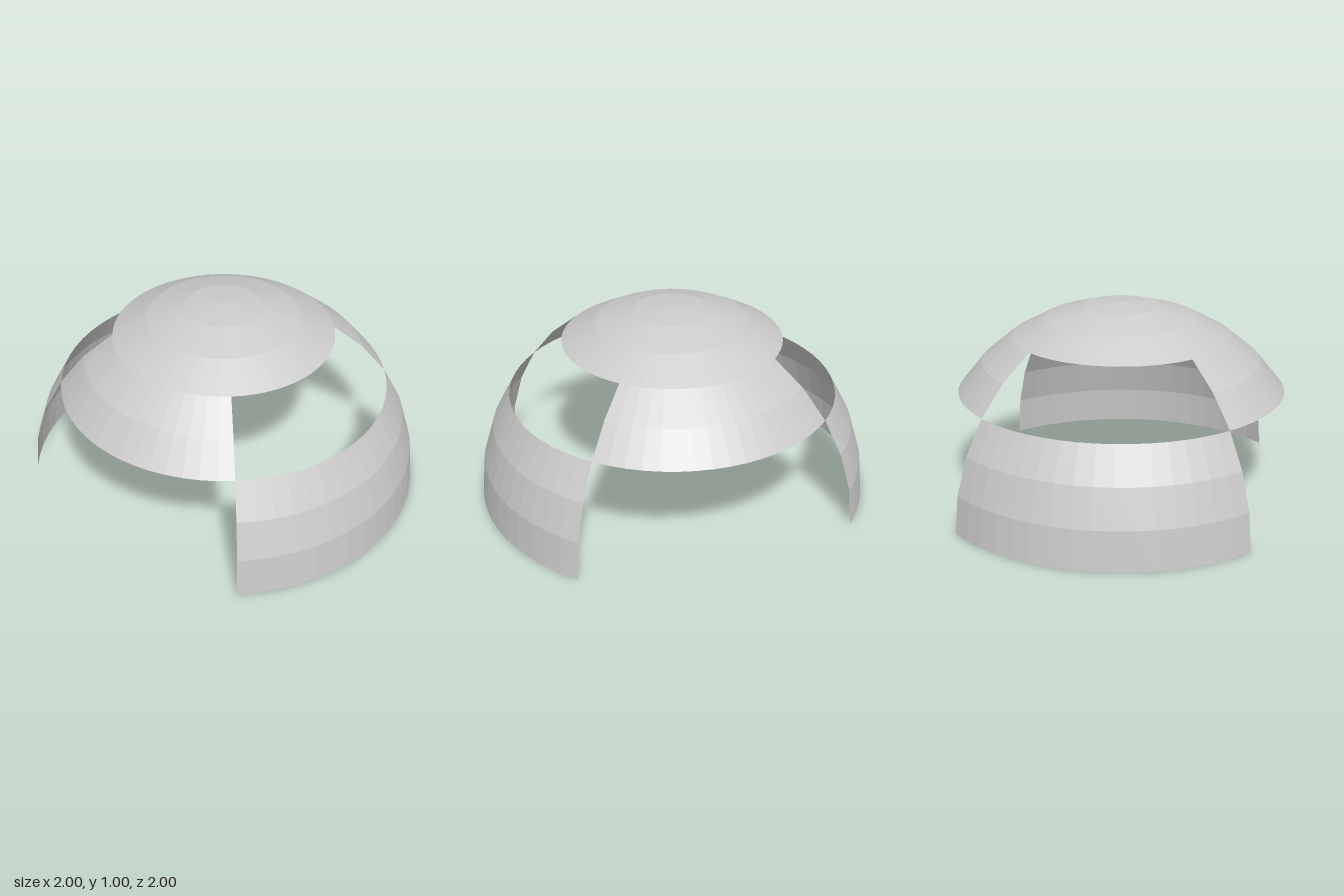
import * as THREE from 'three';

const BAND = Math.PI / 16; // eight latitude bands from pole to rim
const QUARTER = Math.PI / 2;

export function createModel() {
  const group = new THREE.Group();
  const material = new THREE.MeshStandardMaterial({
    color: 0xcccccc, flatShading: true, side: THREE.DoubleSide,
  });

  // Patch of the unit dome: quarter turns around, latitude bands down from the pole
  function addPatch(name, firstQuarter, quarters, firstBand, bands) {
    const geometry = new THREE.SphereGeometry(
      1, 16 * quarters, bands,
      firstQuarter * QUARTER, quarters * QUARTER,
      firstBand * BAND, bands * BAND);
    const mesh = new THREE.Mesh(geometry, material);
    mesh.name = name;
    group.add(mesh);
  }

  // Full round cap
  addPatch('domeCap', 0, 4, 0, 3);

  // Middle panels on one pair of opposite quarters
  addPatch('middlePanelFrontRight', 0, 1, 3, 2);
  addPatch('middlePanelBackLeft', 2, 1, 3, 2);

  // Lower panels on the other pair
  addPatch('lowerPanelFrontLeft', 1, 1, 5, 3);
  addPatch('lowerPanelBackRight', 3, 1, 5, 3);

  return group;
}
